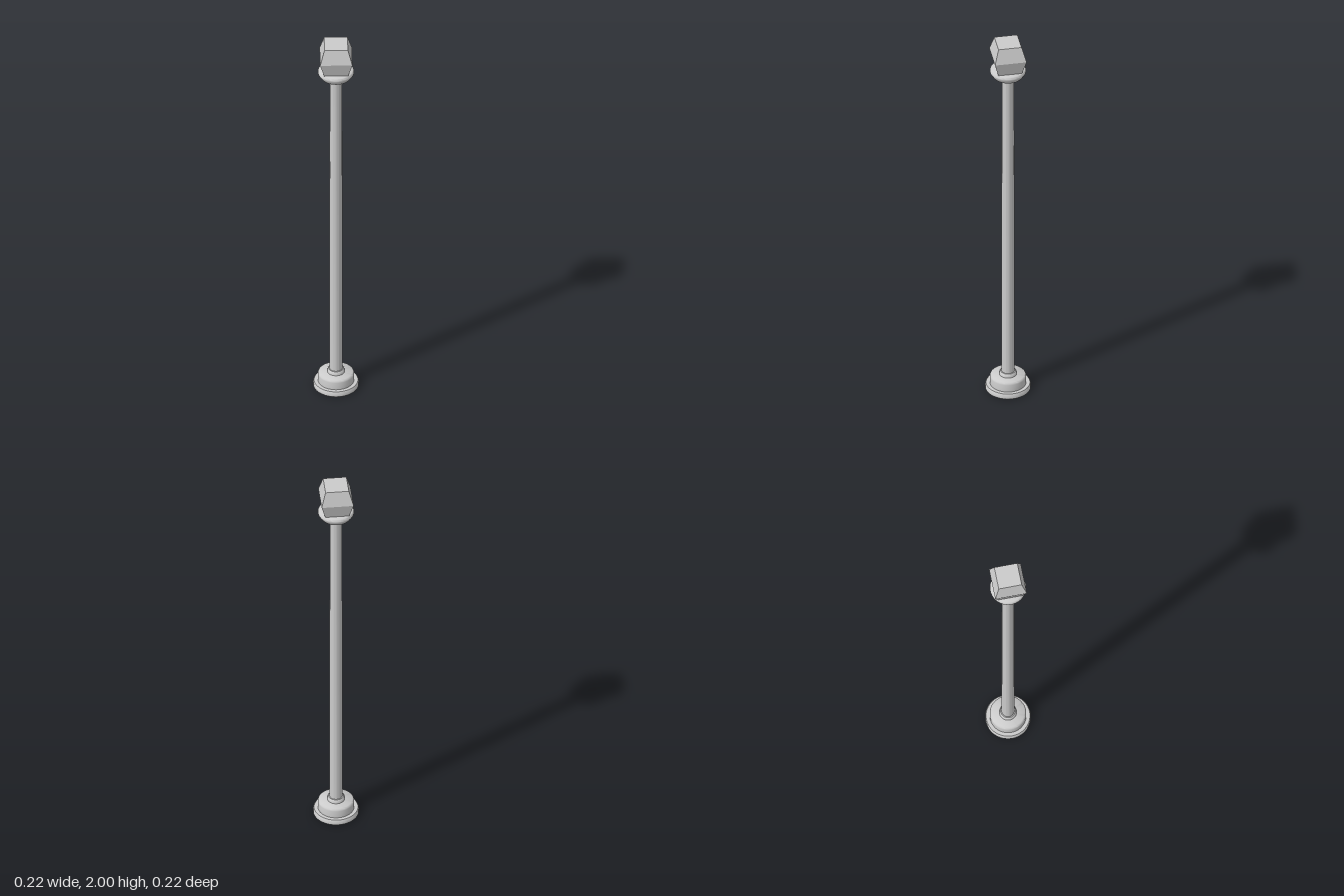
import * as THREE from 'three';
import { toCreasedNormals } from 'three/addons/utils/BufferGeometryUtils.js';

export function createModel() {
  const model = new THREE.Group();
  const material = new THREE.MeshStandardMaterial({ color: 0xcccccc });
  const flatMaterial = new THREE.MeshStandardMaterial({ color: 0xcccccc, flatShading: true });

  // Turned part from [radius, height] pairs, listed bottom to top
  function addTurned(name, profile, sides = 48) {
    const points = profile.map(([r, y]) => new THREE.Vector2(r, y));
    const geometry = toCreasedNormals(new THREE.LatheGeometry(points, sides), 0.7);
    const mesh = new THREE.Mesh(geometry, material);
    mesh.name = name;
    model.add(mesh);
  }

  // Stepped round foot
  addTurned('basePlate', [[0, 0], [0.106, 0], [0.11, 0.004], [0.11, 0.024], [0.106, 0.03], [0, 0.03]]);
  addTurned('baseStep', [[0, 0.03], [0.088, 0.03], [0.088, 0.068], [0.086, 0.075], [0.08, 0.08], [0, 0.08]]);
  addTurned('baseCollar', [[0, 0.08], [0.042, 0.08], [0.04, 0.095], [0.036, 0.099], [0, 0.099]]);

  // Slim post
  addTurned('post', [[0, 0.09], [0.031, 0.09], [0.03, 1.8], [0, 1.8]], 32);

  // Collar and rounded cup beneath the lamp
  addTurned('topCollar', [[0, 1.793], [0.038, 1.793], [0.04, 1.81], [0, 1.81]]);
  addTurned('lampCup', [[0, 1.804], [0.062, 1.804], [0.072, 1.809], [0.08, 1.82],
    [0.087, 1.832], [0.088, 1.84], [0.085, 1.847], [0.08, 1.85], [0, 1.85]]);

  // Four-sided lamp, widest at the middle, corners on the axes
  const lampProfile = [[0, 1.845], [0.08, 1.845], [0.11, 1.925], [0.08, 2], [0, 2]];
  const lamp = new THREE.Mesh(
    new THREE.LatheGeometry(lampProfile.map(([r, y]) => new THREE.Vector2(r, y)), 4),
    flatMaterial
  );
  lamp.name = 'lamp';
  model.add(lamp);

  return model;
}
